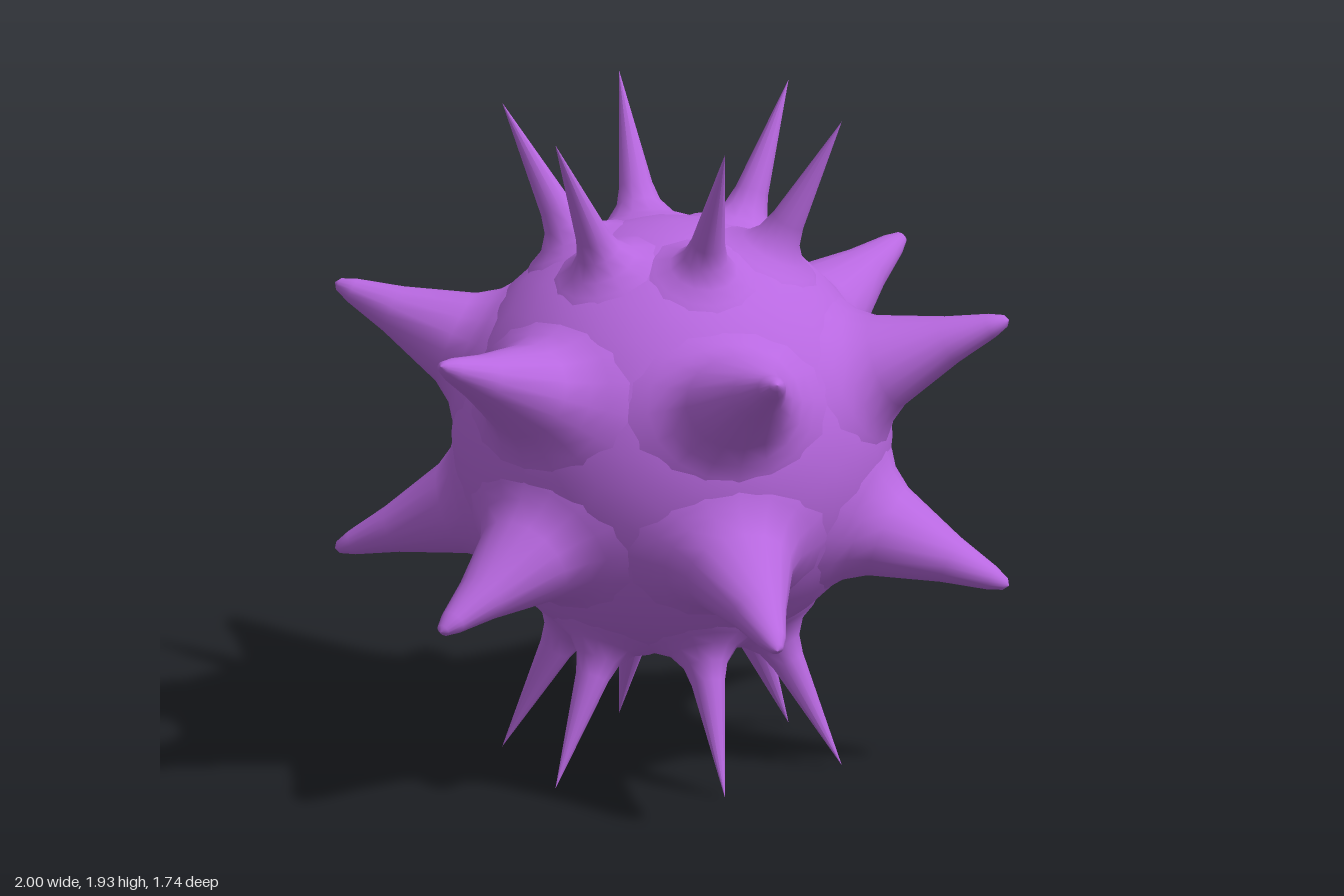
import * as THREE from 'three';

const CENTRE_Y = 0.977;

// Spike profiles as [radius, distance from the ball's centre]; the first point sits under the ball's skin
const WIDE = [[0.26, 0.56], [0.215, 0.602], [0.178, 0.63], [0.138, 0.69], [0.07, 0.89], [0.036, 1.02], [0.018, 1.065], [0, 1.077]];
const THIN = [[0.19, 0.595], [0.145, 0.628], [0.1, 0.648], [0.066, 0.69], [0.05, 0.745], [0, 1.09]];

function spikeGeometry(profile, sides) {
  return new THREE.LatheGeometry(profile.map(([r, d]) => new THREE.Vector2(r, d)), sides);
}

// Ring of six spikes leaning at the given elevation (radians above the equator)
function spikeRing(name, geometry, material, elevation, lateralScale) {
  const ring = new THREE.Group();
  ring.name = name;
  for (let i = 0; i < 6; i++) {
    const spike = new THREE.Mesh(geometry, material);
    spike.name = 'spike';
    spike.rotation.set(0, (i * Math.PI) / 3, elevation - Math.PI / 2, 'YXZ');
    spike.scale.z = lateralScale;
    ring.add(spike);
  }
  return ring;
}

export function createModel() {
  const model = new THREE.Group();
  model.name = 'spikyBall';
  const material = new THREE.MeshStandardMaterial({ color: 0xb868e0 });

  // Round core
  const core = new THREE.Mesh(new THREE.IcosahedronGeometry(0.64, 5), material);
  core.name = 'core';
  model.add(core);

  // Broad spikes around the middle, slender ones near the poles
  const wide = spikeGeometry(WIDE, 16);
  const thin = spikeGeometry(THIN, 12);
  for (const side of [1, -1]) {
    const half = side > 0 ? 'upper' : 'lower';
    model.add(spikeRing(half + 'BroadSpikes', wide, material, side * 0.38, 1.18));
    model.add(spikeRing(half + 'SlenderSpikes', thin, material, side * 1.09, 1));
  }

  model.children.forEach((part) => { part.position.y = CENTRE_Y; });
  return model;
}
